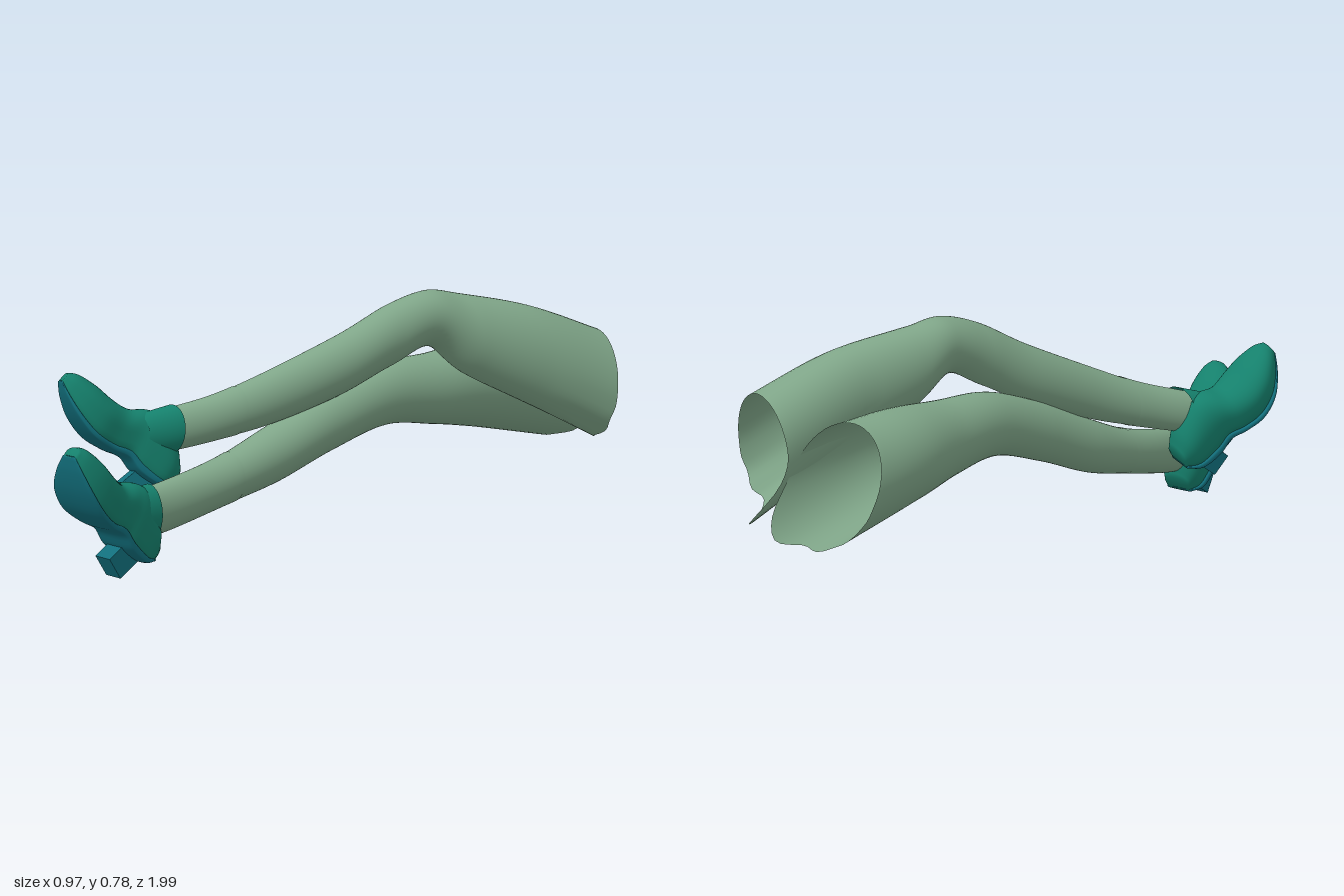
import * as THREE from 'three';

const V = (x, y, z) => new THREE.Vector3(x, y, z);
const mat = (color) => new THREE.MeshStandardMaterial({ color, side: THREE.DoubleSide });
const legMat = mat(0x7fa588);
const shoeMat = mat(0x15806c);
const soleMat = mat(0x126f7c);
const smooth = (points) => new THREE.CatmullRomCurve3(points, false, 'catmullrom');

// Smooth skin over closed rings that all have the same number of points
function loft(rings) {
  const n = rings[0].length, index = [];
  for (let i = 0; i < rings.length - 1; i++) {
    for (let j = 0; j < n; j++) {
      const a = i * n + j, b = i * n + (j + 1) % n;
      index.push(a, b, a + n, b, b + n, a + n);
    }
  }
  const g = new THREE.BufferGeometry().setFromPoints(rings.flat());
  g.setIndex(index);
  g.computeVertexNormals();
  return g;
}

function part(name, geometry, material) {
  const m = new THREE.Mesh(geometry, material);
  m.name = name;
  return m;
}

// Smooth curves through sections [x, y, z, half width, half height]
function limb(sections) {
  const centre = smooth(sections.map(s => V(s[0], s[1], s[2])));
  const size = smooth(sections.map(s => V(s[3], s[4], 0)));
  // t0..t1 along the limb, grown outwards; edge(a) pushes the hip end along z
  return (t0, t1, grow, steps, edge = () => 0) => {
    const rings = [];
    for (let i = 0; i <= steps; i++) {
      const t = t0 + (t1 - t0) * i / steps;
      const c = centre.getPoint(t), r = size.getPoint(t), d = centre.getTangent(t);
      // Slant of an upright cut through a sloping round limb
      const k = d.x * d.y / Math.hypot(d.z, d.x) / Math.hypot(d.z, d.y);
      const w = Math.max(0, 1 - t / 0.12);
      rings.push(Array.from({ length: 48 }, (_, j) => {
        const a = j / 48 * Math.PI * 2, cos = Math.cos(a), push = w * edge(a);
        const up = k * cos + Math.sqrt(1 - k * k) * Math.sin(a);
        return V(c.x + cos * (r.x + grow), c.y + up * (r.y + grow) + 0.25 * push, c.z + push);
      }));
    }
    return loft(rings);
  };
}

// Uneven open hip edge: base slant, a long point at one angle and a small ripple
const hipEdge = (c0, cx, cy, tip, at) => (a) =>
  c0 + cx * Math.cos(a) + cy * Math.sin(a)
  - tip * Math.max(0, Math.cos(a - at)) ** 8
  + 0.01 * Math.sin(a * 9) * Math.max(0, -Math.sin(a));

function makeLeg(name, sections, edge, sockStart, collar) {
  const g = new THREE.Group();
  g.name = name;
  const skin = limb(sections);
  g.add(part('leg', skin(0, 1, 0, 72, edge), legMat));
  g.add(part('sock', skin(sockStart, 1, 0.002, 20), legMat));
  g.add(part('shoeCollar', skin(collar, 1, 0.01, 6), shoeMat));
  return g;
}

// Shoe sections from heel to toe: x, half width, sole z, sole y, top z, top y
const SHOE = [
  [-0.13, 0.045, 0.685, 0.038, 0.648, 0.09],
  [-0.13, 0.066, 0.735, 0.045, 0.65, 0.16],
  [-0.13, 0.072, 0.79, 0.09, 0.685, 0.25],
  [-0.13, 0.073, 0.82, 0.14, 0.73, 0.278],
  [-0.128, 0.083, 0.87, 0.17, 0.79, 0.288],
  [-0.12, 0.096, 0.925, 0.215, 0.84, 0.325],
  [-0.112, 0.088, 0.965, 0.28, 0.885, 0.372],
  [-0.097, 0.058, 0.988, 0.345, 0.935, 0.41],
  [-0.085, 0.026, 0.997, 0.395, 0.97, 0.42],
];

// depth is the share of the section height used, so a small one makes the sole
function shoeBody(depth, grow, topPower) {
  const bottom = smooth(SHOE.map(s => V(s[0], s[3], s[2])));
  const top = smooth(SHOE.map(s => V(s[0], s[5], s[4])));
  const width = smooth(SHOE.map(s => V(s[1], 0, 0)));
  const pw = (v, p) => Math.sign(v) * Math.abs(v) ** p;
  const rings = [];
  for (let i = 0; i <= 40; i++) {
    const p = bottom.getPoint(i / 40), u = top.getPoint(i / 40).sub(p).multiplyScalar(depth / 2);
    const hw = width.getPoint(i / 40).x + grow;
    const mid = p.clone().add(u);
    rings.push(Array.from({ length: 40 }, (_, j) => {
      const a = j / 40 * Math.PI * 2, s = Math.sin(a);
      return mid.clone().addScaledVector(u, pw(s, s < 0 ? 0.45 : topPower))
        .add(V(hw * pw(Math.cos(a), s < 0 ? 0.75 : 0.95), 0, 0));
    }));
  }
  // Close heel and toe with a collapsed ring
  const cap = (r) => {
    const c = r.reduce((s, p) => s.add(p), V(0, 0, 0)).divideScalar(r.length);
    return r.map(() => c.clone());
  };
  return loft([cap(rings[0]), ...rings, cap(rings[40])]);
}

const HEEL = V(-0.135, 0.063, 0.778);

function makeShoe(name, at, yaw, roll) {
  const outer = new THREE.Group(), inner = new THREE.Group();
  outer.name = name;
  inner.position.copy(HEEL).negate();
  inner.add(part('shoeUpper', shoeBody(1, 0, 0.9), shoeMat));
  inner.add(part('sole', shoeBody(0.18, 0.002, 0.5), soleMat));
  const heel = part('heelBlock', new THREE.BoxGeometry(0.066, 0.075, 0.1), soleMat);
  heel.position.copy(HEEL);
  heel.rotation.x = 0.55;
  inner.add(heel);
  outer.add(inner);
  outer.position.copy(at);
  outer.rotation.set(0, yaw, roll, 'ZYX');
  return outer;
}

export function createModel() {
  const model = new THREE.Group();
  model.name = 'crossedLegs';

  // Left leg, crossing over the other
  model.add(makeLeg('leftLeg', [
    [0.335, 0.465, -0.8, 0.146, 0.18],
    [0.26, 0.56, -0.6, 0.128, 0.162],
    [0.16, 0.638, -0.4, 0.112, 0.128],
    [0.112, 0.695, -0.28, 0.092, 0.088],
    [0.066, 0.648, -0.15, 0.087, 0.098],
    [0, 0.565, 0, 0.084, 0.096],
    [-0.095, 0.477, 0.2, 0.074, 0.086],
    [-0.185, 0.42, 0.35, 0.065, 0.072],
    [-0.268, 0.385, 0.47, 0.056, 0.066],
    [-0.315, 0.37, 0.55, 0.045, 0.055],
  ], hipEdge(-0.03, 0.05, -0.02, 0.14, 4.1), 0.74, 0.88));

  // Right leg, lying underneath
  model.add(makeLeg('rightLeg', [
    [0.045, 0.418, -0.8, 0.15, 0.154],
    [0.02, 0.44, -0.6, 0.14, 0.142],
    [0.015, 0.447, -0.4, 0.115, 0.116],
    [-0.008, 0.45, -0.2, 0.093, 0.1],
    [-0.045, 0.387, 0, 0.086, 0.096],
    [-0.085, 0.302, 0.2, 0.082, 0.09],
    [-0.107, 0.238, 0.4, 0.067, 0.074],
    [-0.12, 0.19, 0.62, 0.052, 0.074],
    [-0.122, 0.18, 0.74, 0.05, 0.07],
  ], hipEdge(-0.05, -0.02, 0.07, 0.08, -0.6), 0.73, 0.92));

  model.add(makeShoe('rightShoe', HEEL, 0, 0));
  model.add(makeShoe('leftShoe', V(-0.32, 0.228, 0.545), -0.42, 0.17));
  return model;
}
